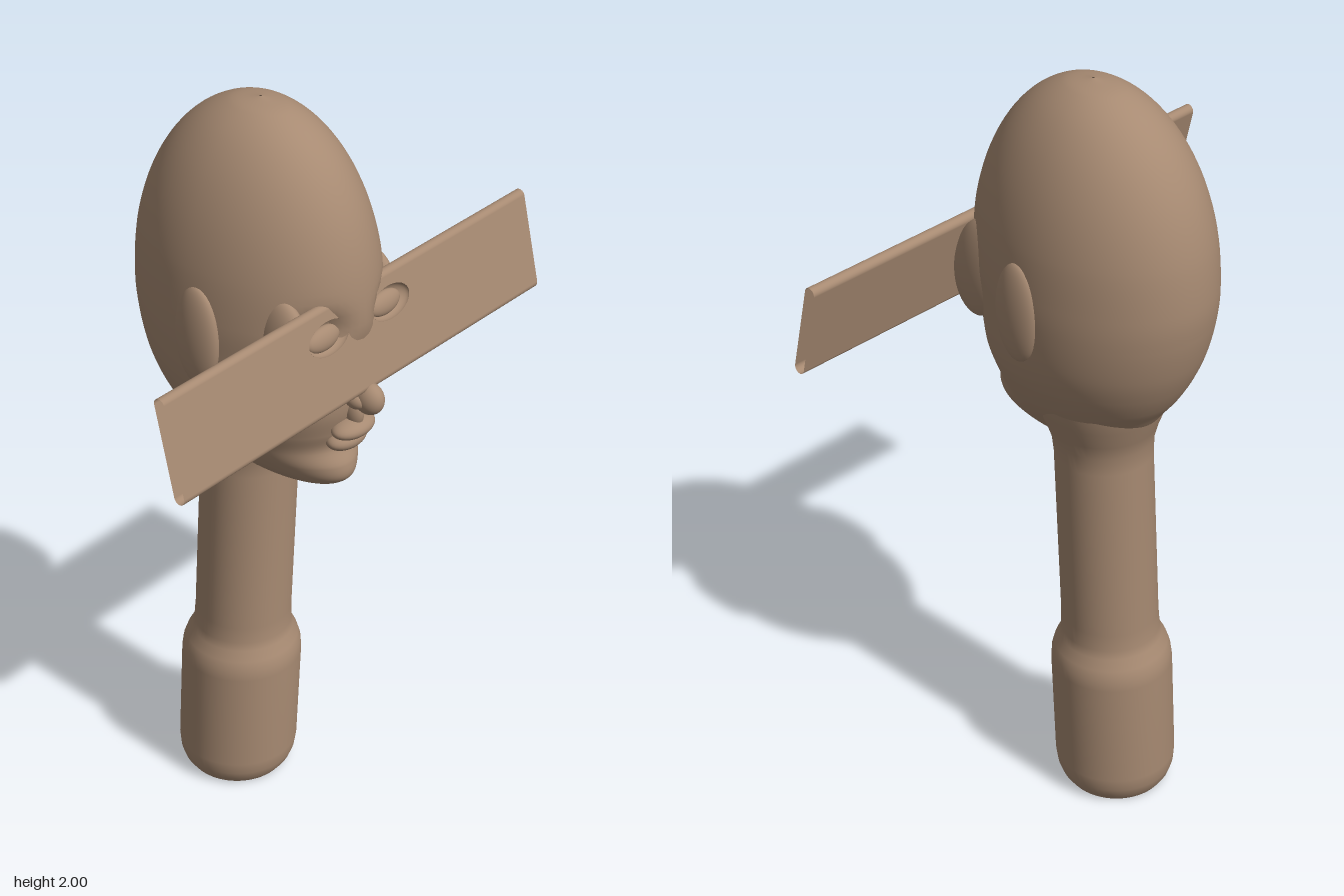
import * as THREE from 'three';
import { ParametricGeometry } from 'three/addons/geometries/ParametricGeometry.js';

const clay = new THREE.MeshStandardMaterial({ color: 0xa78a72, side: THREE.DoubleSide });
clay.name = 'brown clay';

function add(parent, name, geometry, x = 0, y = 0, z = 0) {
  const mesh = new THREE.Mesh(geometry, clay);
  mesh.name = name;
  mesh.position.set(x, y, z);
  parent.add(mesh);
  return mesh;
}

function ellipsoid(parent, name, [x, y, z], [rx, ry, rz]) {
  const mesh = add(parent, name, new THREE.SphereGeometry(1, 32, 20), x, y, z);
  mesh.scale.set(rx, ry, rz);
  return mesh;
}

// Egg-shaped head: rows of height, front z, back z and half width
function headGeometry() {
  const rows = [
    [1.035, 0.16, 0.02, 0.004],
    [1.042, 0.225, -0.1, 0.07],
    [1.07, 0.265, -0.17, 0.105],
    [1.11, 0.268, -0.195, 0.135],
    [1.16, 0.247, -0.23, 0.168],
    [1.21, 0.26, -0.268, 0.194],
    [1.27, 0.275, -0.302, 0.219],
    [1.34, 0.28, -0.33, 0.236],
    [1.43, 0.29, -0.352, 0.245],
    [1.52, 0.308, -0.36, 0.247],
  ];
  for (let k = 1; k <= 6; k++) {
    const a = (k * Math.PI) / 12;
    const s = Math.max(Math.cos(a), 0.01);
    rows.push([1.52 + 0.48 * Math.sin(a), -0.02 + 0.328 * s, -0.02 - 0.34 * s, 0.247 * s]);
  }
  const heights = new THREE.CatmullRomCurve3(rows.map((r) => new THREE.Vector3(r[0], 0, 0)), false, 'catmullrom');
  const sizes = new THREE.CatmullRomCurve3(rows.map((r) => new THREE.Vector3(r[1], r[2], r[3])), false, 'catmullrom');
  return new ParametricGeometry((u, v, target) => {
    const y = heights.getPoint(v).x;
    const size = sizes.getPoint(v);
    const a = (u - 0.5) * Math.PI * 2;
    const mid = size.y + (size.x - size.y) * 0.48;
    const x = size.z * Math.sin(a);
    let z = mid + Math.cos(a) * (Math.cos(a) > 0 ? size.x - mid : mid - size.y);
    // Hollows behind the eyes
    if (z > 0) z -= 0.045 * Math.exp(-(((Math.abs(x) - 0.11) / 0.05) ** 2) - ((y - 1.52) / 0.045) ** 2);
    target.set(x, y, z);
  }, 80, 90);
}

// Neck and wider foot, open below and leaning slightly back
function neckGeometry() {
  const profile = [
    [0.13, 0], [0.144, 0.02], [0.153, 0.045], [0.157, 0.08], [0.157, 0.37], [0.154, 0.4],
    [0.146, 0.425], [0.132, 0.452], [0.127, 0.475], [0.125, 0.52], [0.124, 1.0], [0.128, 1.05],
    [0.14, 1.09], [0.16, 1.14], [0.17, 1.18],
  ].map(([r, y]) => new THREE.Vector2(r, y));
  const geometry = new THREE.LatheGeometry(profile, 56);
  const p = geometry.attributes.position;
  for (let i = 0; i < p.count; i++) p.setZ(i, p.getZ(i) - 0.113 + 0.05 * p.getY(i));
  return geometry;
}

// Hollow wide board across the eyes, open at both ends
function buildBoard() {
  const board = new THREE.Group();
  board.name = 'eyeBoard';
  const halfX = 0.645, halfY = 0.115, r = 0.0155, eyeX = 0.11, eyeY = 0.05;
  const rectangle = () => new THREE.Shape([
    new THREE.Vector2(-halfX, -halfY), new THREE.Vector2(halfX, -halfY),
    new THREE.Vector2(halfX, halfY), new THREE.Vector2(-halfX, halfY),
  ]);

  const front = rectangle();
  for (const side of [-1, 1]) {
    front.holes.push(new THREE.Path().absellipse(side * eyeX, eyeY, 0.07, 0.041, 0, Math.PI * 2, true));
  }
  add(board, 'boardFront', new THREE.ShapeGeometry(front, 32), 0, 0, r);
  add(board, 'boardBack', new THREE.ShapeGeometry(rectangle()), 0, 0, -r).rotation.y = Math.PI;

  for (const side of [-1, 1]) {
    const edge = new THREE.CylinderGeometry(r, r, halfX * 2, 12, 1, true, 0, Math.PI);
    add(board, side > 0 ? 'boardTopEdge' : 'boardBottomEdge', edge, 0, side * halfY, 0).rotation.z = (side * Math.PI) / 2;

    // Bowl-shaped socket with the eyeball resting in it
    const bowl = new THREE.SphereGeometry(1, 32, 10, 0, Math.PI * 2, Math.PI / 2, Math.PI / 2);
    bowl.rotateX(Math.PI / 2);
    const socket = add(board, 'eyeSocket', bowl, side * eyeX, eyeY, r);
    socket.scale.set(0.07, 0.041, 0.03);
    ellipsoid(board, 'eyeball', [side * eyeX, eyeY - 0.004, -0.006], [0.056, 0.03, 0.018]);
  }
  board.position.set(0, 1.472, 0.287);
  board.rotation.x = -0.24;
  return board;
}

export function createModel() {
  const model = new THREE.Group();
  model.name = 'sculptedHead';

  add(model, 'head', headGeometry());
  add(model, 'neckAndFoot', neckGeometry(), 0.005, 0, 0);
  model.add(buildBoard());

  // Nose and mouth
  ellipsoid(model, 'noseTip', [0, 1.322, 0.322], [0.032, 0.042, 0.042]);
  ellipsoid(model, 'philtrum', [0, 1.265, 0.277], [0.02, 0.04, 0.028]);
  ellipsoid(model, 'upperLip', [0, 1.226, 0.275], [0.066, 0.026, 0.042]);
  ellipsoid(model, 'lowerLip', [0, 1.187, 0.255], [0.062, 0.028, 0.04]);

  // Paired features
  for (const side of [-1, 1]) {
    ellipsoid(model, 'nostril', [side * 0.023, 1.318, 0.3], [0.02, 0.022, 0.03]);
    ellipsoid(model, 'ear', [side * 0.24, 1.47, -0.005], [0.03, 0.132, 0.066]);
    const temple = ellipsoid(model, 'temple', [side * 0.162, 1.48, 0.195], [0.04, 0.14, 0.085]);
    temple.rotation.x = -0.2;
  }
  return model;
}
